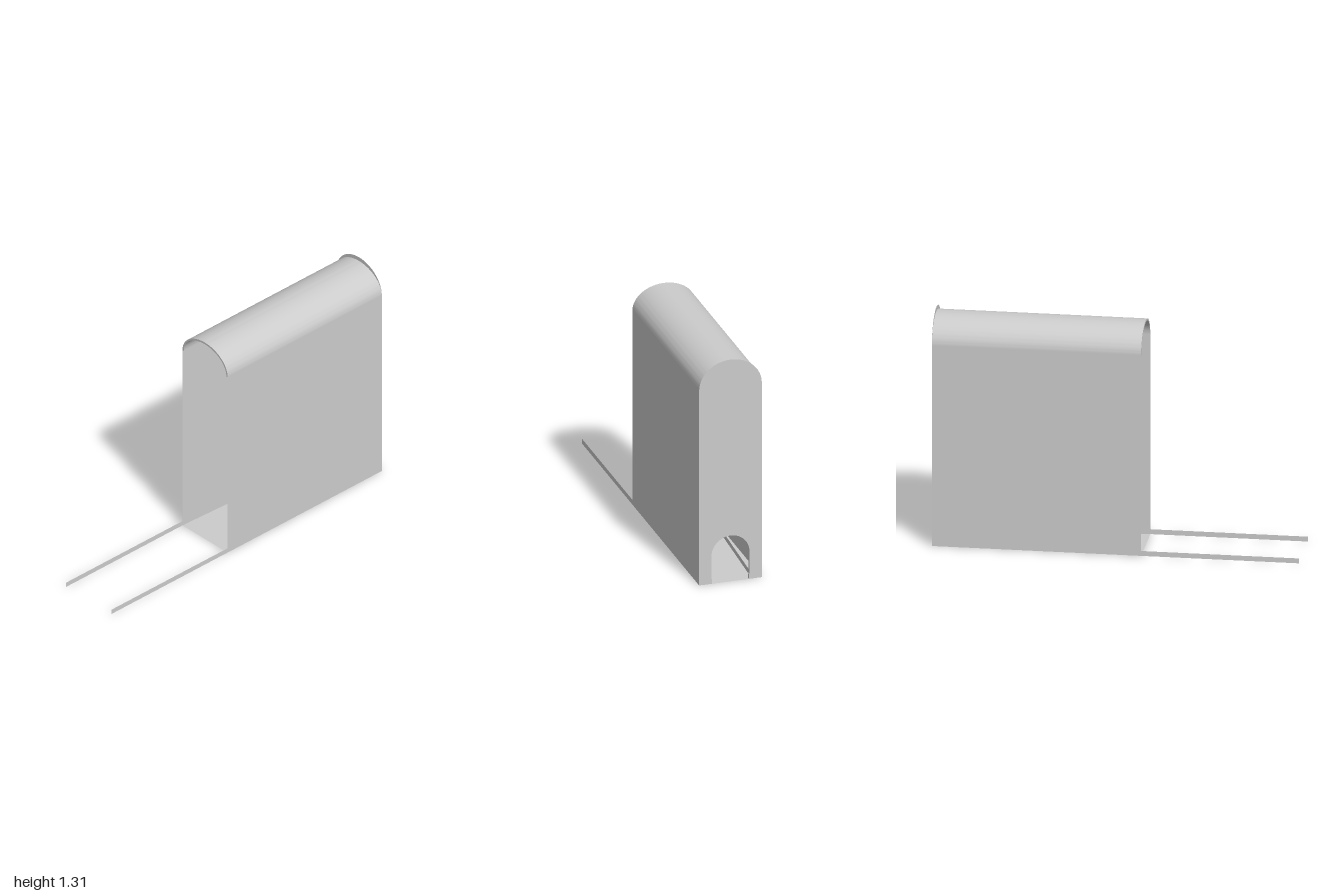
import * as THREE from 'three';
import { toCreasedNormals } from 'three/addons/utils/BufferGeometryUtils.js';

const HALF = 0.178, FRONT = 0.14, BACK = -1, SPRING = 1.147;
const LENGTH = FRONT - BACK;

// Upright outline with a rounded top
function archOutline(target, half, spring, top) {
  target.moveTo(-half, 0);
  target.lineTo(half, 0);
  target.lineTo(half, spring);
  target.absellipse(0, spring, half, top - spring, 0, Math.PI, false);
  target.lineTo(-half, 0);
  return target;
}

// Arch band that is open at the bottom
function archBand(outer, inner, foot) {
  const s = new THREE.Shape();
  s.moveTo(outer.half, foot);
  s.lineTo(outer.half, outer.spring);
  s.absellipse(0, outer.spring, outer.half, outer.top - outer.spring, 0, Math.PI, false);
  s.lineTo(-outer.half, foot);
  s.lineTo(-inner.half, foot);
  s.lineTo(-inner.half, inner.spring);
  s.absellipse(0, inner.spring, inner.half, inner.top - inner.spring, Math.PI, 0, true);
  s.lineTo(inner.half, foot);
  s.closePath();
  return s;
}

function extrude(shape, depth, z) {
  const g = new THREE.ExtrudeGeometry(shape, { depth, bevelEnabled: false, curveSegments: 28 });
  g.translate(0, 0, z);
  return toCreasedNormals(g, 0.6);
}

export function createModel() {
  const model = new THREE.Group();
  const material = new THREE.MeshStandardMaterial({ color: 0xcccccc, side: THREE.DoubleSide });
  const add = (name, geometry) => {
    const mesh = new THREE.Mesh(geometry, material);
    mesh.name = name;
    model.add(mesh);
    return mesh;
  };

  // Thin curved roof
  const roof = archBand(
    { half: HALF, spring: SPRING, top: 1.283 },
    { half: HALF - 0.01, spring: SPRING, top: 1.272 }, SPRING - 0.002);
  add('roof', extrude(roof, LENGTH, BACK));

  // Floor
  const floor = new THREE.PlaneGeometry(2 * HALF, LENGTH);
  floor.rotateX(-Math.PI / 2);
  floor.translate(0, 0, (FRONT + BACK) / 2);
  add('floor', floor);

  // Back wall with an arched doorway, rising just above the roof
  const wall = new THREE.Shape();
  wall.moveTo(-HALF, 0);
  wall.lineTo(-0.108, 0);
  wall.lineTo(-0.108, 0.162);
  wall.absellipse(0, 0.162, 0.108, 0.108, Math.PI, 0, true);
  wall.lineTo(0.108, 0);
  wall.lineTo(HALF, 0);
  wall.lineTo(HALF, SPRING);
  wall.absellipse(0, SPRING, HALF, 1.307 - SPRING, 0, Math.PI, false);
  wall.closePath();
  const wallGeometry = new THREE.ShapeGeometry(wall, 28);
  wallGeometry.translate(0, 0, BACK);
  add('backWall', wallGeometry);

  // Raised frame around the doorway on the inside
  const frame = archBand(
    { half: 0.125, spring: 0.165, top: 0.29 },
    { half: 0.108, spring: 0.162, top: 0.27 }, 0);
  add('doorFrame', extrude(frame, 0.015, BACK));

  for (const [side, s] of [['left', 1], ['right', -1]]) {
    // Side wall
    const sideWall = new THREE.PlaneGeometry(LENGTH, SPRING);
    sideWall.rotateY(s * Math.PI / 2);
    sideWall.translate(s * HALF, SPRING / 2, (FRONT + BACK) / 2);
    add(side + 'Wall', sideWall);

    // Low rail: straight outside, closing in towards the doorway inside
    const rail = new THREE.PlaneGeometry(1, 0.028, 2, 1);
    const path = [[HALF, 1], [HALF, FRONT], [0.122, BACK + 0.01]];
    const p = rail.attributes.position;
    for (let i = 0; i < p.count; i++) {
      const [x, z] = path[i % 3];
      p.setXYZ(i, s * x, p.getY(i) + 0.014, z);
    }
    const railGeometry = toCreasedNormals(rail, 0.02);
    add(side + 'Rail', railGeometry);

    // Small foot at the base of the door frame
    const foot = new THREE.BoxGeometry(0.009, 0.028, 0.02);
    foot.translate(s * 0.1095, 0.014, BACK + 0.01);
    add(side + 'FrameFoot', foot);
  }
  return model;
}
